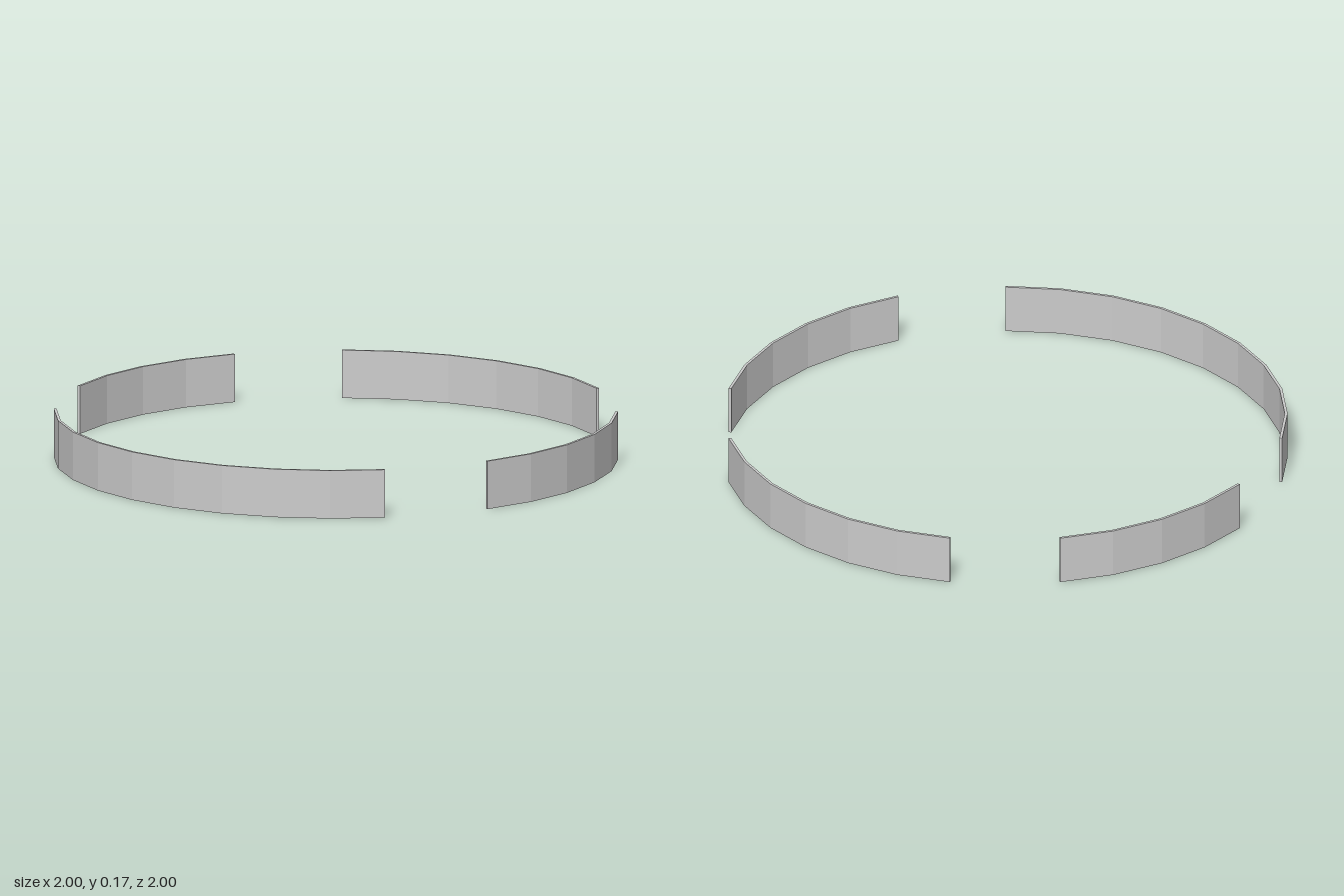
import * as THREE from 'three';

const STEP = Math.PI / 16; // 32-sided ring
const OUTER = 1, INNER = 0.99, HEIGHT = 0.174;

// Curved wall between two ring corners, counted from +x towards +z
function arcWall(name, from, to, material) {
  const outer = [], inner = [];
  for (let k = from; k <= to; k++) {
    const c = Math.cos(k * STEP), s = -Math.sin(k * STEP);
    outer.push(new THREE.Vector2(OUTER * c, OUTER * s));
    inner.unshift(new THREE.Vector2(INNER * c, INNER * s));
  }
  const shape = new THREE.Shape([...outer, ...inner]);
  const geometry = new THREE.ExtrudeGeometry(shape, { depth: HEIGHT, bevelEnabled: false });
  geometry.rotateX(-Math.PI / 2);
  const mesh = new THREE.Mesh(geometry, material);
  mesh.name = name;
  return mesh;
}

export function createModel() {
  const group = new THREE.Group();
  group.name = 'brokenRing';
  const material = new THREE.MeshStandardMaterial({ color: 0xcccccc, flatShading: true });

  // Four unequal arcs with gaps of two sides between them
  const arcs = [
    ['leftArc', -4, 2],
    ['frontArc', 4, 9],
    ['rightArc', 11, 20],
    ['backArc', 22, 26],
  ];
  for (const [name, from, to] of arcs) group.add(arcWall(name, from, to, material));
  return group;
}
